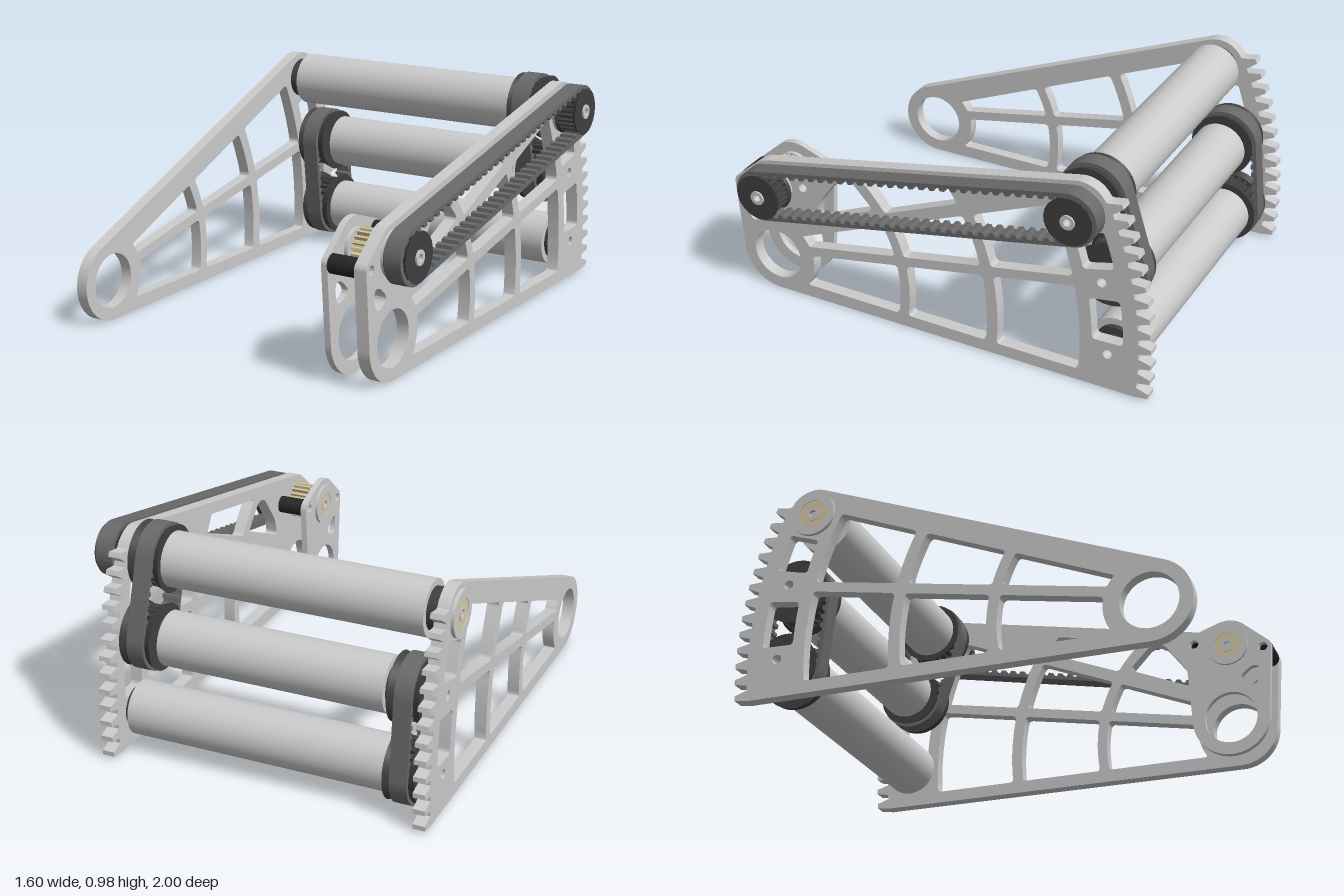
import * as THREE from 'three';
import { toCreasedNormals } from 'three/addons/utils/BufferGeometryUtils.js';

const PI = Math.PI;
const mat = (color) => new THREE.MeshStandardMaterial({ color });
const grey = mat(0xcccccc), dark = mat(0x404040), rubber = mat(0x6a6a6a), black = mat(0x262626), brass = mat(0xd8c9a0);

// Side profiles are drawn in (u, y) with u = -z
const PIVOT = [-0.8, 0.176], HUB = [-0.8, 0.525], PAD_A = [-0.963, 0.497], PAD_B = [-0.645, 0.556];
const TOP = [0.67, 0.83], MID = [0.77, 0.514], LOW = [0.805, 0.176];
const polar = (r, a) => [PIVOT[0] + r * Math.cos(a), PIVOT[1] + r * Math.sin(a)];

export function createModel() {
  const model = new THREE.Group();

  function add(parent, name, geo, material) {
    const mesh = new THREE.Mesh(toCreasedNormals(geo, 0.5), material);
    mesh.name = name;
    parent.add(mesh);
    return mesh;
  }

  // Profile extruded along x from x0 to x1
  function slab(parent, name, shape, x0, x1, material) {
    const geo = new THREE.ExtrudeGeometry(shape, { depth: x1 - x0, bevelEnabled: false, curveSegments: 24 });
    geo.rotateY(PI / 2).translate(x0, 0, 0);
    return add(parent, name, geo, material);
  }

  // Turned ring along x; the two ends may have different outer radii
  function ring(parent, name, [u, y], rOut, rIn, x0, x1, material, rEnd = rOut) {
    const L = x1 - x0;
    const pts = [[rIn, 0], [rOut, 0], [rEnd, L], [rIn, L], [rIn, 0]].map((p) => new THREE.Vector2(...p));
    const geo = new THREE.LatheGeometry(pts, 48).rotateZ(-PI / 2).translate(x0, y, -u);
    return add(parent, name, geo, material);
  }

  // Closed path with rounded corners
  function rounded(pts, c) {
    const path = new THREE.Path();
    const v = pts.map((p) => new THREE.Vector2(...p));
    v.forEach((p, i) => {
      const toward = (q) => p.clone().lerp(q, Math.min(c / p.distanceTo(q), 0.49));
      const a = toward(v[(i + v.length - 1) % v.length]), b = toward(v[(i + 1) % v.length]);
      if (i) path.lineTo(a.x, a.y); else path.moveTo(a.x, a.y);
      path.quadraticCurveTo(p.x, p.y, b.x, b.y);
    });
    path.closePath();
    return path;
  }

  const circle = ([u, y], r) => new THREE.Path().absarc(u, y, r, 0, 2 * PI);

  // Window between two arcs about the pivot
  function sector(r0, r1, lo, hi) {
    const pts = [], n = 5;
    for (let i = 0; i <= n; i++) pts.push(polar(r1, lo[1] + ((hi[1] - lo[1]) * i) / n));
    for (let i = n; i >= 0; i--) pts.push(polar(r0, lo[0] + ((hi[0] - lo[0]) * i) / n));
    return rounded(pts, 0.02);
  }

  // Angle at which the arc of radius r meets the line y = a + b u
  function meet(r, [a, b]) {
    let t = 0;
    for (let i = 0; i < 40; i++) t = Math.asin((a + b * polar(r, t)[0] - PIVOT[1]) / r);
    return t;
  }
  const panel = (r0, r1, lo, hi) => sector(r0, r1, [meet(r0, lo), meet(r1, lo)], [meet(r0, hi), meet(r1, hi)]);

  const base = [0.06, 0], sparLow = [0.338, 0.192], sparHigh = [0.383, 0.192];
  const diagLow = [0.585, 0.42], diagHigh = [0.645, 0.42], band = [0.76, 0.2045];
  const bays = [[0.19, 0.63], [0.675, 1.05], [1.1, 1.48]];

  // Side plate with a toothed rim; the drive side also carries the raised front
  function sidePlate(drive) {
    const s = new THREE.Shape();
    s.moveTo(PIVOT[0], 0);
    for (let k = 0; k < 13; k++) {
      const a = -0.083 + 0.0408 * k;
      for (const [r, d] of [[1.74, -0.014], [1.796, -0.006], [1.796, 0.006], [1.74, 0.014]]) {
        const p = polar(r, a + d);
        s.lineTo(p[0], Math.max(p[1], 0));
      }
    }
    const tilt = PI / 2 + Math.atan(drive ? 0.2045 : 0.42);
    s.absarc(...TOP, 0.122, 0.5, tilt);
    if (drive) {
      s.absarc(...HUB, 0.122, tilt, 2.2);
      s.absarc(...PAD_A, 0.038, 2.2, PI);
    }
    s.absarc(...PIVOT, 0.176, drive ? PI : tilt, 1.5 * PI);
    for (const [r0, r1] of bays) s.holes.push(panel(r0, r1, base, sparLow), panel(r0, r1, sparHigh, diagLow));
    s.holes.push(circle(PIVOT, 0.12), circle(MID, 0.021), circle(LOW, 0.021));
    s.holes.push(sector(1.535, 1.675, [0.037, 0.037], [0.163, 0.163]), sector(1.535, 1.675, [0.25, 0.25], [0.35, 0.35]));
    if (drive) {
      s.holes.push(panel(0.675, 1.05, diagHigh, band), circle(PAD_A, 0.02), circle(PAD_B, 0.02), frontWindow());
      s.holes.push(rounded([[-0.585, 0.417], [-0.29, 0.545], [-0.4, 0.66], [-0.46, 0.65], [-0.57, 0.5]], 0.03));
    }
    return s;
  }
  const frontWindow = () => rounded([[-0.94, 0.412], [-0.9, 0.41], [-0.85, 0.365], [-0.86, 0.34], [-0.92, 0.315], [-0.94, 0.35]], 0.025);

  // Inner support plate
  function supportPlate() {
    const s = new THREE.Shape();
    s.absarc(...PIVOT, 0.176, PI, 2 * PI);
    s.absarc(...PAD_B, 0.045, 0, 1.2);
    s.absarc(...HUB, 0.125, 1.2, 2.2);
    s.absarc(...PAD_A, 0.038, 2.2, PI);
    s.closePath();
    s.holes.push(circle(PIVOT, 0.12), circle(PAD_A, 0.02), circle(PAD_B, 0.02), frontWindow());
    return s;
  }

  // Spur profile with a bore
  function spur([u, y], r, depth, n) {
    const s = new THREE.Shape();
    for (let i = 0; i < n; i++) {
      [[r - depth, 0], [r, 0.15], [r, 0.5], [r - depth, 0.65]].forEach(([q, f], j) => {
        const a = ((i + f) / n) * 2 * PI, p = [u + q * Math.cos(a), y + q * Math.sin(a)];
        if (i + j) s.lineTo(...p); else s.moveTo(...p);
      });
    }
    s.closePath();
    s.holes.push(circle([u, y], 0.02));
    return s;
  }

  // Belt around two equal pulleys, toothed on the inside
  function belt(name, A, B, R, thick, tooth, pitch, x0, x1) {
    const ang = Math.atan2(B[1] - A[1], B[0] - A[0]), D = Math.hypot(B[0] - A[0], B[1] - A[1]);
    const s = new THREE.Shape();
    s.absarc(...B, R, ang - PI / 2, ang + PI / 2);
    s.absarc(...A, R, ang + PI / 2, ang + 1.5 * PI);
    s.closePath();
    const ri = R - thick, len = 2 * D + 2 * PI * ri, n = Math.round(len / pitch), pts = [];
    const at = (d, r) => {
      const half = D + PI * ri, back = d >= half, e = back ? d - half : d;
      const t = e < D ? 0 : (e - D) / ri, run = Math.min(e, D);
      const x = (run + r * Math.sin(t)) - D / 2, y = -r * Math.cos(t), k = back ? -1 : 1;
      const c = Math.cos(ang), q = Math.sin(ang);
      return new THREE.Vector2((A[0] + B[0]) / 2 + k * (x * c - y * q), (A[1] + B[1]) / 2 + k * (x * q + y * c));
    };
    for (let i = 0; i < n; i++) {
      for (const [f, r] of [[0, ri], [0.4, ri], [0.5, ri - tooth], [0.9, ri - tooth]]) pts.push(at(((i + f) / n) * len, r));
    }
    s.holes.push(new THREE.Path(pts));
    slab(model, name, s, x0, x1, rubber);
  }

  // Toothed pulley between two flared flanges
  function pulley(name, c, x0, x1, rFlange, rCore, wA, wB) {
    const g = new THREE.Group();
    g.name = name;
    slab(g, 'pulleyTeeth', spur(c, rCore, 0.015, 24), x0 + wA, x1 - wB, dark);
    ring(g, 'pulleyFlange', c, rFlange, 0.02, x0, x0 + wA, dark, rFlange * 0.92);
    ring(g, 'pulleyFlange', c, rFlange * 0.92, 0.02, x1 - wB, x1, dark, rFlange);
    model.add(g);
  }

  function bearing(c, r, x0, x1) {
    ring(model, 'bearingRing', c, r, r * 0.62, x0, x1, grey);
    ring(model, 'bearingCore', c, r * 0.64, 0.016, x0 + 0.003, x1 - 0.003, brass);
  }

  // Plates
  slab(model, 'leftSidePlate', sidePlate(true), 0.625, 0.68, grey).name = 'driveSidePlate';
  slab(model, 'plainSidePlate', sidePlate(false), -0.785, -0.732, grey);
  slab(model, 'supportPlate', supportPlate(), 0.475, 0.503, grey);
  for (const p of [PAD_A, PAD_B]) ring(model, 'standoff', p, 0.04, 0.02, 0.503, 0.625, black);

  // Rollers, end hubs and axles: centre, roller ends, axle ends
  const rollers = [['top', TOP, -0.68, 0.475, -0.8, 0.802], ['middle', MID, -0.555, 0.452, -0.732, 0.625], ['bottom', LOW, -0.575, 0.59, -0.732, 0.625]];
  for (const [n, c, a, b, s0, s1] of rollers) {
    ring(model, n + 'Roller', c, 0.119, 0.03, a, b, grey);
    ring(model, n + 'HubRight', c, 0.09, 0.03, a - 0.03, a, dark);
    ring(model, n + 'HubLeft', c, 0.09, 0.03, b, b + 0.024, dark);
    ring(model, n + 'Axle', c, 0.032, 0.016, s0, s1, grey);
    ring(model, n + 'CollarRight', c, 0.06, 0.03, -0.732, a, dark);
    ring(model, n + 'CollarLeft', c, 0.06, 0.03, b, 0.625, dark);
  }
  ring(model, 'topHubCap', TOP, 0.09, 0.03, -0.732, -0.68, dark);

  // Roller pulleys and belts
  for (const c of [TOP, MID]) pulley('leftRollerPulley', c, 0.475, 0.615, 0.145, 0.128, 0.026, 0.036);
  for (const c of [MID, LOW]) pulley('rightRollerPulley', c, -0.72, -0.58, 0.145, 0.128, 0.03, 0.033);
  belt('leftRollerBelt', MID, TOP, 0.15, 0.015, 0.013, 0.04, 0.501, 0.577);
  belt('rightRollerBelt', LOW, MID, 0.15, 0.015, 0.013, 0.04, -0.69, -0.614);

  // Main drive: belt, pulleys, bearings and input gear
  belt('driveBelt', HUB, TOP, 0.118, 0.016, 0.015, 0.05, 0.705, 0.781);
  for (const c of [HUB, TOP]) {
    pulley('drivePulley', c, 0.695, 0.795, 0.105, 0.096, 0.012, 0.014);
    bearing(c, 0.1, 0.68, 0.694);
  }
  bearing(TOP, 0.1, -0.8, -0.785);
  bearing(HUB, 0.095, 0.463, 0.475);
  bearing(HUB, 0.08, 0.503, 0.52);
  slab(model, 'inputGear', spur(HUB, 0.085, 0.018, 20), 0.535, 0.622, brass);
  ring(model, 'inputShaft', HUB, 0.032, 0.016, 0.463, 0.802, grey);

  return model;
}
